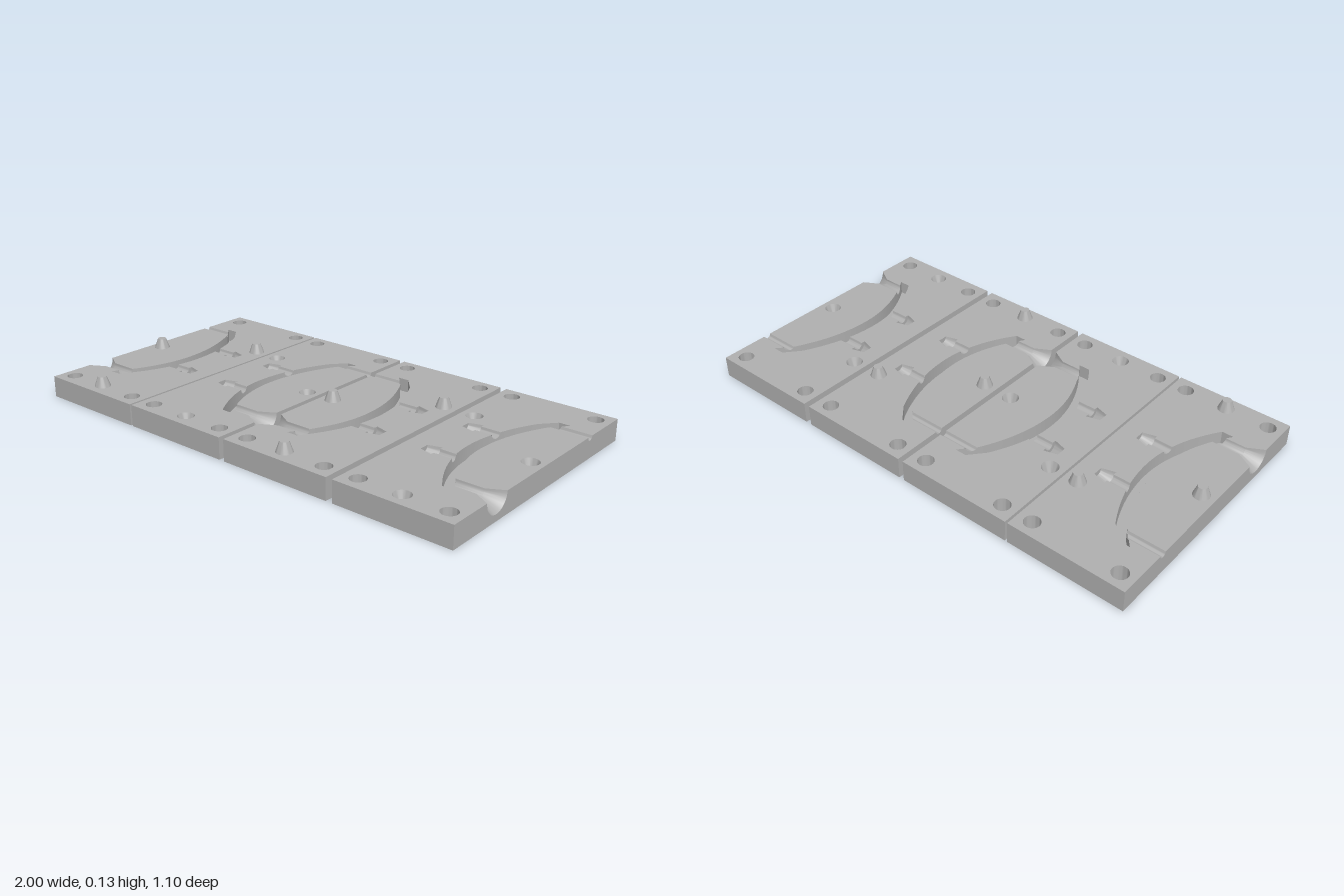
import * as THREE from 'three';
import { toCreasedNormals } from 'three/addons/utils/BufferGeometryUtils.js';

const W = 0.485, D = 0.55, H = 0.089;      // plate width, half depth, height
const SLOT = 0.048, FLOOR = 0.035;         // cavity width, cavity floor height
const Z0 = -0.374, Z1 = 0.353;             // cavity ends
const VENT_Z = [-0.132, 0.134], VENT_R = 0.021;
const AIR = { z: -0.33, r: 0.016 };
const SPRUE = { z: 0.303, r: 0.025, mouth: 0.062, taper: 0.065 };
const CORNERS = [[0.06, -0.49], [0.424, -0.49], [0.06, 0.487], [0.424, 0.487]];
const PINS = [[0.055, 0], [0.428, -0.225], [0.242, 0.487]];

const grey = new THREE.MeshStandardMaterial({ color: 0xb0b0b0, side: THREE.DoubleSide });
grey.name = 'grey';

// curved cavity edges as x for a given z
function outer(z) {
  if (z < -0.31) return 0.205 + (z + 0.31) * 0.86;
  return 0.294 - (z < 0.02 ? 0.82 : 1.03) * (z - 0.02) ** 2;
}
const inner = (z) => outer(z) - SLOT;

// points along a cavity edge between two z values
function along(edge, a, b, n = 24) {
  return Array.from({ length: n + 1 }, (_, i) => {
    const z = a + (b - a) * i / n;
    return [edge(z), z];
  });
}

function add(group, name, geometry) {
  const mesh = new THREE.Mesh(toCreasedNormals(geometry, 0.6), grey);
  mesh.name = name;
  group.add(mesh);
  return mesh;
}

function hole(shape, x, y, r) {
  const path = new THREE.Path();
  path.absarc(x, y, r, 0, Math.PI * 2, true);
  shape.holes.push(path);
}

// flat horizontal face from [x, z] points
function face(points, y, circles = [], down = false) {
  const s = down ? 1 : -1;
  const shape = new THREE.Shape(points.map(([x, z]) => new THREE.Vector2(x, s * z)));
  circles.forEach(([x, z, r]) => hole(shape, x, s * z, r));
  return new THREE.ShapeGeometry(shape, 16).rotateX(s * Math.PI / 2).translate(0, y, 0);
}

// grid of quads from rows of [x, y, z] points
function loft(rows) {
  const n = rows[0].length, index = [];
  for (let i = 0; i < rows.length - 1; i++) {
    for (let j = 0; j < n - 1; j++) {
      const a = i * n + j, b = a + n;
      index.push(a, b, a + 1, b, b + 1, a + 1);
    }
  }
  const g = new THREE.BufferGeometry();
  g.setAttribute('position', new THREE.Float32BufferAttribute(rows.flat(2), 3));
  g.setIndex(index);
  return g;
}

// half-round channel along x; a profile x may be an edge function
function channel(profile, zc) {
  return loft(profile.map(([x, r]) => Array.from({ length: 17 }, (_, j) => {
    const a = Math.PI * j / 16, z = zc + r * Math.cos(a);
    return [typeof x === 'function' ? x(z) : x, H - r * Math.sin(a), z];
  })));
}

// cavity wall, lowered where channels enter
function cavityWall(edge, channels) {
  const points = along(edge, Z0, Z1, 180);
  const top = points.map(([x, z]) => {
    const c = channels.find((k) => Math.abs(z - k.z) < k.r);
    return [x, H - (c ? Math.sqrt(c.r ** 2 - (z - c.z) ** 2) : 0), z];
  });
  const low = points.map(([x, z]) => [x, FLOOR, z]);
  return edge === inner ? loft([top, low]) : loft([low, top]);
}

function wall(points, y0, y1) {
  return loft([points.map(([x, z]) => [x, y1, z]), points.map(([x, z]) => [x, y0, z])]);
}

function createPlate(name, hasPins) {
  const g = new THREE.Group();
  g.name = name;
  const bores = CORNERS.map(([x, z]) => [x, z, 0.032]);
  const sockets = hasPins ? [] : PINS.map(([x, z]) => [x, z, 0.034]);
  const inIsland = (c) => c[0] < 0.1 && c[1] === 0;

  // top surface: island inside the curve and the field around it
  const sprueEdge = (s) => [[0, SPRUE.z + s * SPRUE.mouth], [SPRUE.taper, SPRUE.z + s * SPRUE.r]];
  const island = [
    [0, AIR.z + AIR.r],
    ...along(inner, AIR.z + AIR.r, SPRUE.z - SPRUE.r, 40),
    ...sprueEdge(-1).reverse(),
  ];
  add(g, 'topIsland', face(island, H, sockets.filter(inIsland)));

  const ventNotch = (z) => [[0.352, z + VENT_R], [0.352, z + 0.037], [0.407, z + 0.021],
    [0.407, z - 0.021], [0.352, z - 0.037], [0.352, z - VENT_R]];
  const [v0, v1] = VENT_Z;
  const field = [
    [0, -D], [W, -D], [W, D], [0, D],
    ...sprueEdge(1),
    ...along(inner, SPRUE.z + SPRUE.r, Z1, 5),
    ...along(outer, Z1, v1 + VENT_R), ...ventNotch(v1),
    ...along(outer, v1 - VENT_R, v0 + VENT_R), ...ventNotch(v0),
    ...along(outer, v0 - VENT_R, Z0),
    ...along(inner, Z0, AIR.z - AIR.r, 5),
    [0, AIR.z - AIR.r],
  ];
  add(g, 'topField', face(field, H, [...bores, ...sockets.filter((c) => !inIsland(c))]));

  // underside and outer walls
  add(g, 'underside', face([[0, -D], [W, -D], [W, D], [0, D]], 0, bores, true));
  add(g, 'outerWalls', wall([[0, D], [W, D], [W, -D], [0, -D]].reverse(), 0, H));

  // channel side wall with half-round openings
  const side = new THREE.Shape();
  side.moveTo(-D, 0);
  side.lineTo(D, 0);
  side.lineTo(D, H);
  side.absarc(SPRUE.z, H, SPRUE.mouth, 0, Math.PI, true);
  side.absarc(AIR.z, H, AIR.r, 0, Math.PI, true);
  side.lineTo(-D, H);
  add(g, 'channelSideWall', new THREE.ShapeGeometry(side, 16).rotateY(-Math.PI / 2));

  // curved cavity
  add(g, 'cavityFloor', face([...along(inner, Z0, Z1, 60), ...along(outer, Z1, Z0, 60)], FLOOR));
  add(g, 'cavityInnerWall', cavityWall(inner, [AIR, SPRUE]));
  add(g, 'cavityOuterWall', cavityWall(outer, VENT_Z.map((z) => ({ z, r: VENT_R }))));
  for (const z of [Z0, Z1]) {
    add(g, 'cavityEnd', wall([[inner(z), z], [outer(z), z]], FLOOR, H));
  }

  // sprue, air channel and barbed vents
  add(g, 'sprue', channel([[0, SPRUE.mouth], [SPRUE.taper, SPRUE.r], [inner, SPRUE.r]], SPRUE.z));
  add(g, 'airChannel', channel([[0, AIR.r], [inner, AIR.r]], AIR.z));
  for (const z of VENT_Z) {
    add(g, 'vent', channel([[outer, VENT_R], [0.352, VENT_R], [0.352, 0.037], [0.407, 0.021], [0.407, 0]], z));
  }

  // through holes
  for (const [x, z, r] of bores) {
    add(g, 'boltHole', new THREE.CylinderGeometry(r, r, H, 32, 1, true)).position.set(x, H / 2, z);
  }

  // tapered locating pins or matching sockets
  for (const [x, z] of PINS) {
    const profile = hasPins
      ? [[0.033, 0], [0.018, 0.042], [0, 0.042]]
      : [[0, -0.044], [0.018, -0.044], [0.034, 0]];
    const geometry = new THREE.LatheGeometry(profile.map(([r, y]) => new THREE.Vector2(r, y)), 32);
    add(g, hasPins ? 'locatingPin' : 'locatingSocket', geometry).position.set(x, H, z);
  }
  return g;
}

export function createModel() {
  const model = new THREE.Group();
  model.name = 'mouldSet';
  // pinned plates open to -x, socketed plates are mirrored
  [[-1, true], [-0.02, false], [0.003, true], [1, false]].forEach(([x, pins], i) => {
    const plate = createPlate('mouldPlate' + (i + 1), pins);
    plate.position.x = x;
    if (!pins) plate.scale.x = -1;
    model.add(plate);
  });
  return model;
}
